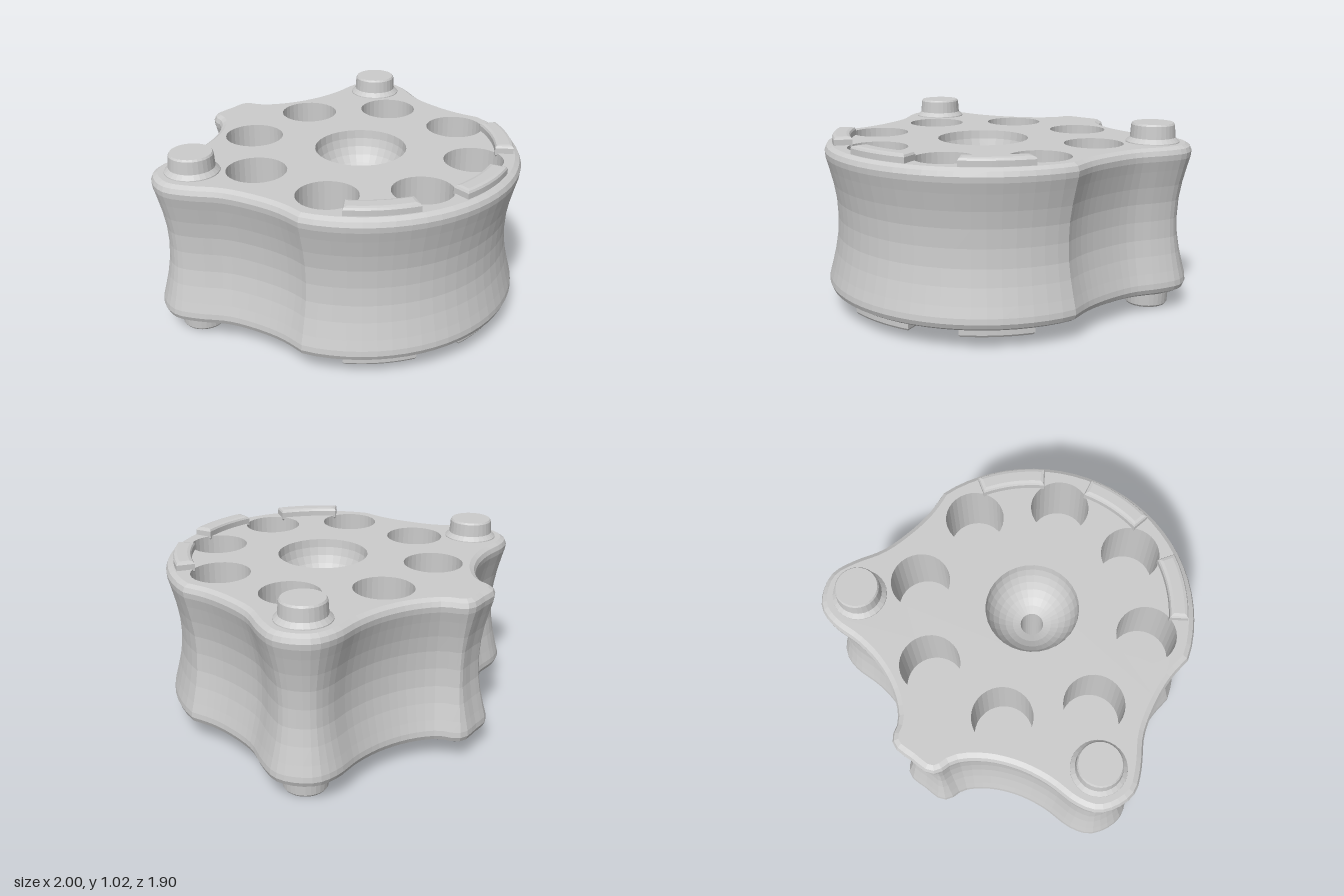
import * as THREE from 'three';

const MID = 0.51;      // height of the symmetry plane
const TOP = 0.405;     // flat face above that plane
const CZ = 0.075;      // centre of the round front and of the hole ring
const V = (x, y) => new THREE.Vector2(x, y);

// Closed plan outline (x, z): waisted sides and back, circular front
function makeOutline() {
  const side = [[0, -0.95], [0.1, -0.95], [0.15, -0.92], [0.185, -0.83], [0.3, -0.73],
    [0.46, -0.66], [0.62, -0.632], [0.8, -0.632], [0.91, -0.595], [0.98, -0.5], [1, -0.4],
    [0.955, -0.28], [0.87, -0.13], [0.825, 0.05], [0.812, 0.2], [0.826, 0.34]];
  const curve = new THREE.CatmullRomCurve3(side.map(([x, z]) => new THREE.Vector3(x, 0, z)));
  const half = curve.getSpacedPoints(44).map(p => V(p.x, p.z));
  for (let i = 1; i <= 14; i++) {
    const a = THREE.MathUtils.lerp(0.31, Math.PI / 2, i / 14);
    half.push(V(0.87 * Math.cos(a), CZ + 0.87 * Math.sin(a)));
  }
  const mirrored = half.slice(1, -1).reverse().map(p => V(-p.x, p.y));
  return [...half, ...mirrored];
}

// Outline moved inward along its normals
function inset(outline, d) {
  const n = outline.length;
  return outline.map((p, i) => {
    const t = outline[(i + 1) % n].clone().sub(outline[(i + n - 1) % n]).normalize();
    return V(p.x - t.y * d, p.y + t.x * d);
  });
}

// Hollowed side wall with a rounded rim, from the middle up
const WALL = [[0.06, 0], [0.055, 0.1], [0.04, 0.19], [0.018, 0.28], [0.003, 0.335],
  [0, 0.365], [0.01, 0.39], [0.035, TOP]];

function wallGeometry(outline) {
  const n = outline.length, pos = [], idx = [];
  for (const [d, y] of WALL) for (const p of inset(outline, d)) pos.push(p.x, y, p.y);
  for (let j = 0; j < WALL.length - 1; j++) for (let i = 0; i < n; i++) {
    const k = (i + 1) % n, a = j * n + i, b = j * n + k;
    idx.push(a, a + n, b, b, a + n, b + n);
  }
  const g = new THREE.BufferGeometry();
  g.setAttribute('position', new THREE.Float32BufferAttribute(pos, 3));
  g.setIndex(idx);
  g.computeVertexNormals();
  return g;
}

export function createModel() {
  const mat = new THREE.MeshStandardMaterial({ color: 0xcccccc, flatShading: true });
  const inner = mat.clone();
  inner.side = THREE.DoubleSide;
  const outline = makeOutline();
  const half = new THREE.Group();
  const add = (name, geometry, material = mat, x = 0, y = 0, z = 0) => {
    const m = new THREE.Mesh(geometry, material);
    m.name = name;
    m.position.set(x, y, z);
    half.add(m);
    return m;
  };

  add('sideWall', wallGeometry(outline));

  // Flat face pierced by a ring of eight holes and the central bowl
  const face = new THREE.Shape(inset(outline, 0.035).map(p => V(p.x, -p.y)));
  const pierce = (x, z, r) => face.holes.push(new THREE.Path().absarc(x, -z, r, 0, Math.PI * 2, true));
  const holeR = 0.16, depth = 0.36;
  for (let i = 0; i < 8; i++) {
    const a = (i + 0.5) * Math.PI / 4;
    const x = 0.622 * Math.cos(a), z = CZ + 0.622 * Math.sin(a);
    pierce(x, z, holeR);
    add('holeWall', new THREE.CylinderGeometry(holeR, holeR, depth, 32, 1, true), inner, x, TOP - depth / 2, z);
    add('holeFloor', new THREE.CircleGeometry(holeR, 32).rotateX(-Math.PI / 2), mat, x, TOP - depth, z);
  }
  pierce(0, CZ, 0.25);
  add('face', new THREE.ShapeGeometry(face, 16).rotateX(-Math.PI / 2), mat, 0, TOP, 0);

  // Central bowl running into a narrow through bore
  const bowl = [];
  for (let i = 0; i <= 7; i++) {
    const a = (i / 7) * Math.acos(0.0625 / 0.25);
    bowl.push(V(0.25 * Math.cos(a), TOP - 0.25 * Math.sin(a)));
  }
  bowl.push(V(0.0625, 0));
  add('centreBowl', new THREE.LatheGeometry(bowl, 32), inner, 0, 0, CZ);

  // Two pins with flared feet
  const pin = [[0.15, 0.375], [0.145, 0.41], [0.122, 0.432], [0.117, 0.5], [0.11, 0.51], [0, 0.51]];
  const pinGeometry = new THREE.LatheGeometry(pin.map(([r, y]) => V(r, y)), 28);
  for (const s of [-1, 1]) add('pin', pinGeometry, mat, s * 0.785, 0, -0.42);

  // Three curved pads along the front rim
  const pad = new THREE.Shape();
  const w = 0.205, mid = Math.PI / 2;
  pad.absarc(0, 0, 0.805, mid - w, mid + w, false);
  pad.absarc(0, 0, 0.75, mid + w, mid - w, true);
  pad.closePath();
  const padGeometry = new THREE.ExtrudeGeometry(pad, {
    depth: 0.04, bevelEnabled: true, bevelSize: 0.022, bevelThickness: 0.015, bevelSegments: 2, curveSegments: 6,
  }).rotateX(Math.PI / 2);
  for (const turn of [-Math.PI / 4, 0, Math.PI / 4]) {
    add('frontPad', padGeometry, mat, 0, 0.435, CZ).rotation.y = turn;
  }

  // Lower half is the upper one turned over
  half.name = 'upperHalf';
  const lower = half.clone();
  lower.name = 'lowerHalf';
  lower.rotation.z = Math.PI;
  half.position.y = lower.position.y = MID;
  const model = new THREE.Group();
  model.name = 'body';
  model.add(half, lower);
  return model;
}
